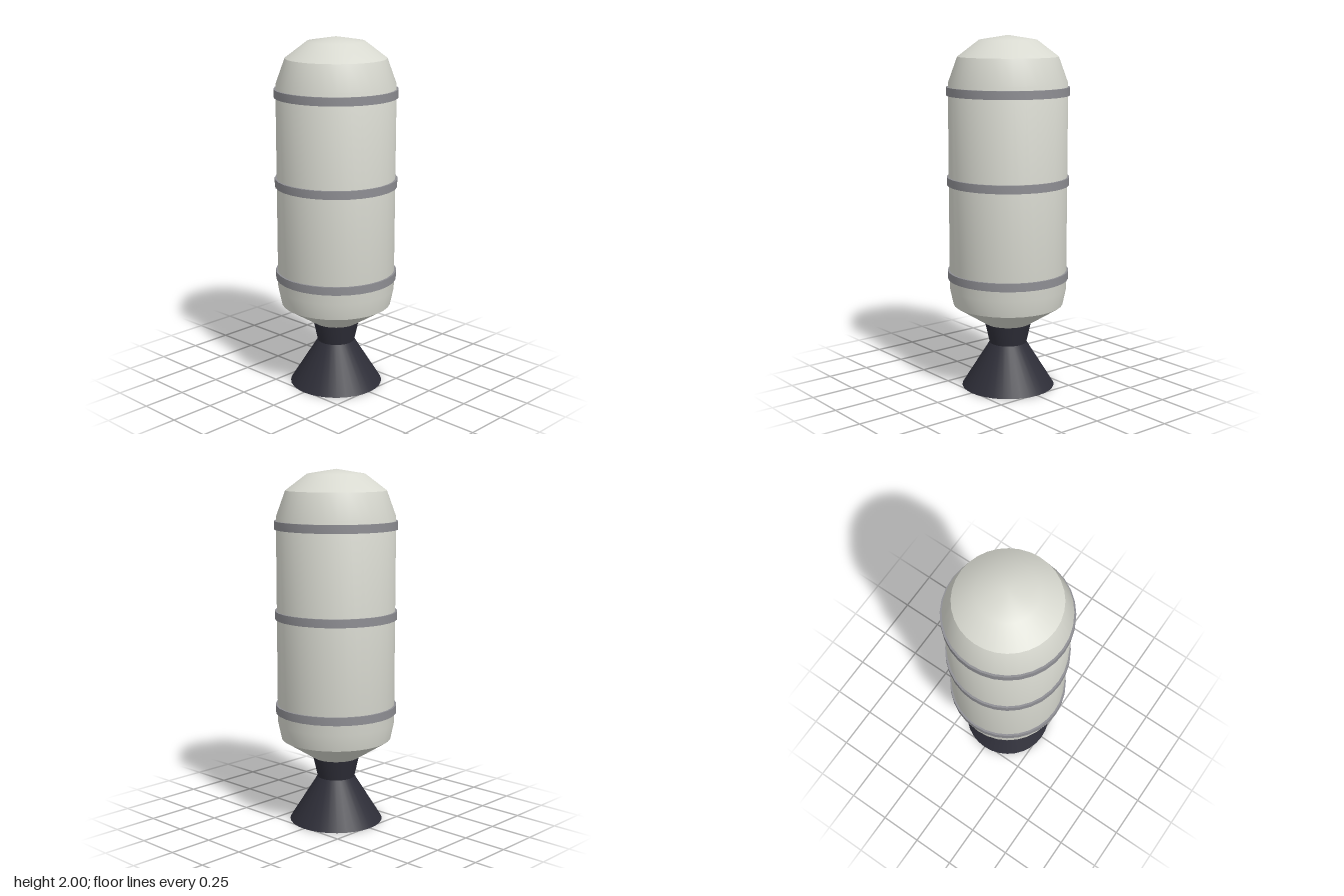
import * as THREE from 'three';
import { toCreasedNormals } from 'three/addons/utils/BufferGeometryUtils.js';

const SEGMENTS = 32;

// Revolve a bottom-to-top [radius, height] profile, keeping sharp edges over 30 degrees
function lathe(name, profile, material) {
  const points = profile.map(([r, y]) => new THREE.Vector2(r, y));
  const geometry = toCreasedNormals(new THREE.LatheGeometry(points, SEGMENTS), Math.PI / 6);
  const mesh = new THREE.Mesh(geometry, material);
  mesh.name = name;
  return mesh;
}

export function createModel() {
  const shell = new THREE.MeshStandardMaterial({ color: 0xd8d9d0 });
  shell.name = 'shellGrey';
  const band = new THREE.MeshStandardMaterial({ color: 0x8e8e93 });
  band.name = 'bandGrey';
  const dark = new THREE.MeshStandardMaterial({ color: 0x2e2e38, side: THREE.DoubleSide });
  dark.name = 'nozzleDark';

  const group = new THREE.Group();
  group.name = 'rocketStage';

  // Tank with tapered base and faceted dome
  group.add(lathe('tank', [
    [0, 0.37], [0.13, 0.37], [0.312, 0.485], [0.332, 0.58],
    [0.332, 1.74], [0.28, 1.883], [0.16, 1.974], [0, 2],
  ], shell));

  // Three raised bands around the tank
  [0.66, 1.196, 1.695].forEach((y, i) => {
    const h = 0.023;
    group.add(lathe(`band${i + 1}`, [
      [0.32, y - h], [0.343, y - h], [0.343, y + h], [0.32, y + h],
    ], band));
  });

  // Open engine bell with narrow throat
  group.add(lathe('engineNozzle', [[0.265, 0], [0.106, 0.255], [0.132, 0.371]], dark));

  return group;
}
